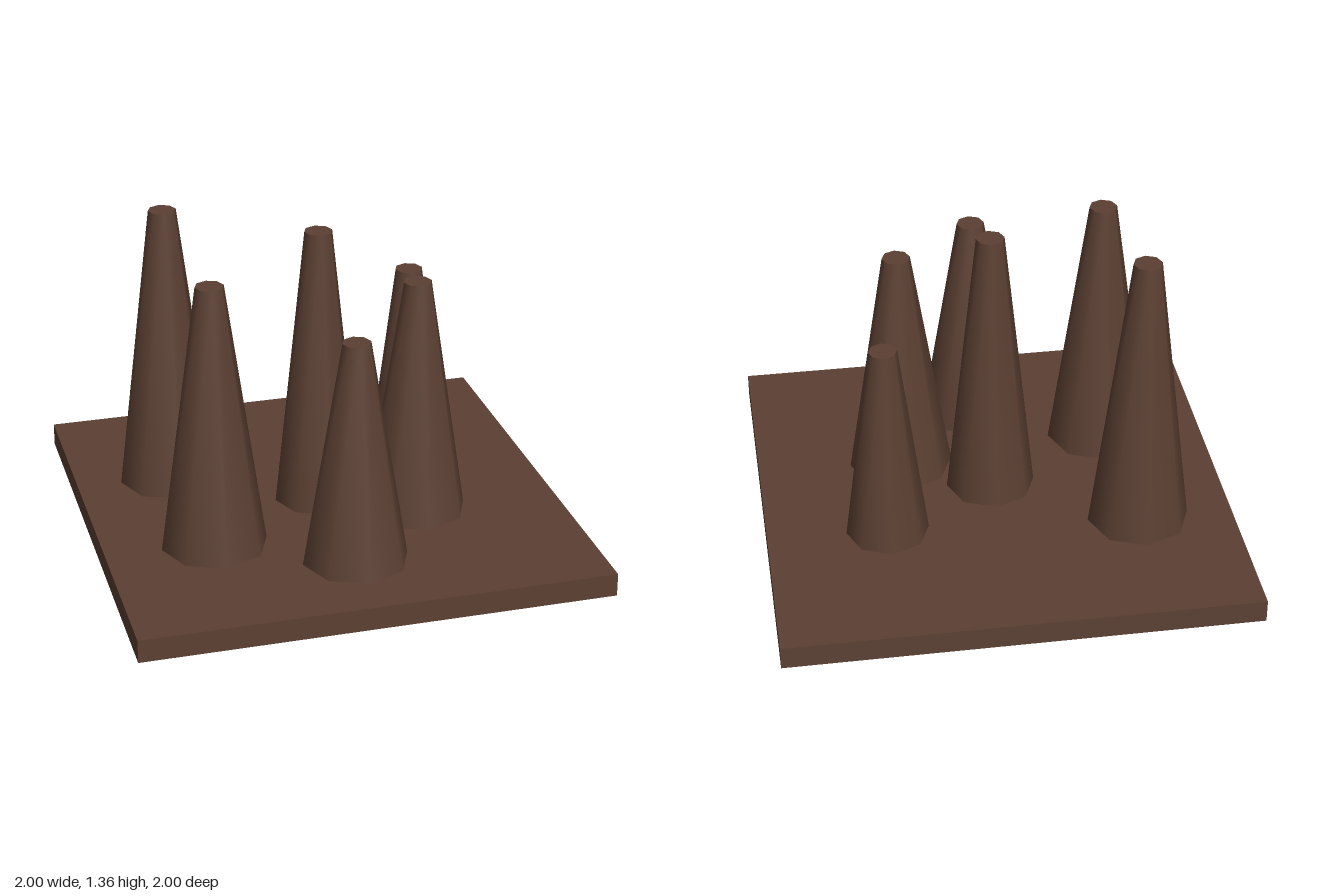
import * as THREE from 'three';

const BASE_TOP = 0.1;
const TIP_RADIUS = 0.06;

// x, z, foot radius, height of the tip
const SPIKES = [
  [-0.59, -0.34, 0.218, 1.36],
  [-0.535, 0.31, 0.225, 1.265],
  [0, 0, 0.192, 1.333],
  [0, 0.585, 0.225, 1.075],
  [0.37, 0.21, 0.225, 1.15],
  [0.485, -0.28, 0.177, 1.005],
];

export function createModel() {
  const model = new THREE.Group();
  model.name = 'spikeField';
  const brown = new THREE.MeshStandardMaterial({ color: 0x5c4033 });
  brown.name = 'darkBrown';

  // Square ground slab
  const base = new THREE.Mesh(new THREE.BoxGeometry(2, BASE_TOP, 2), brown);
  base.name = 'base';
  base.position.y = BASE_TOP / 2;
  model.add(base);

  // Blunt eight-sided spikes with smooth sides
  SPIKES.forEach(([x, z, radius, top], i) => {
    const height = top - BASE_TOP;
    const spike = new THREE.Mesh(new THREE.CylinderGeometry(TIP_RADIUS, radius, height, 8), brown);
    spike.name = `spike${i + 1}`;
    spike.position.set(x, BASE_TOP + height / 2, z);
    model.add(spike);
  });

  return model;
}
